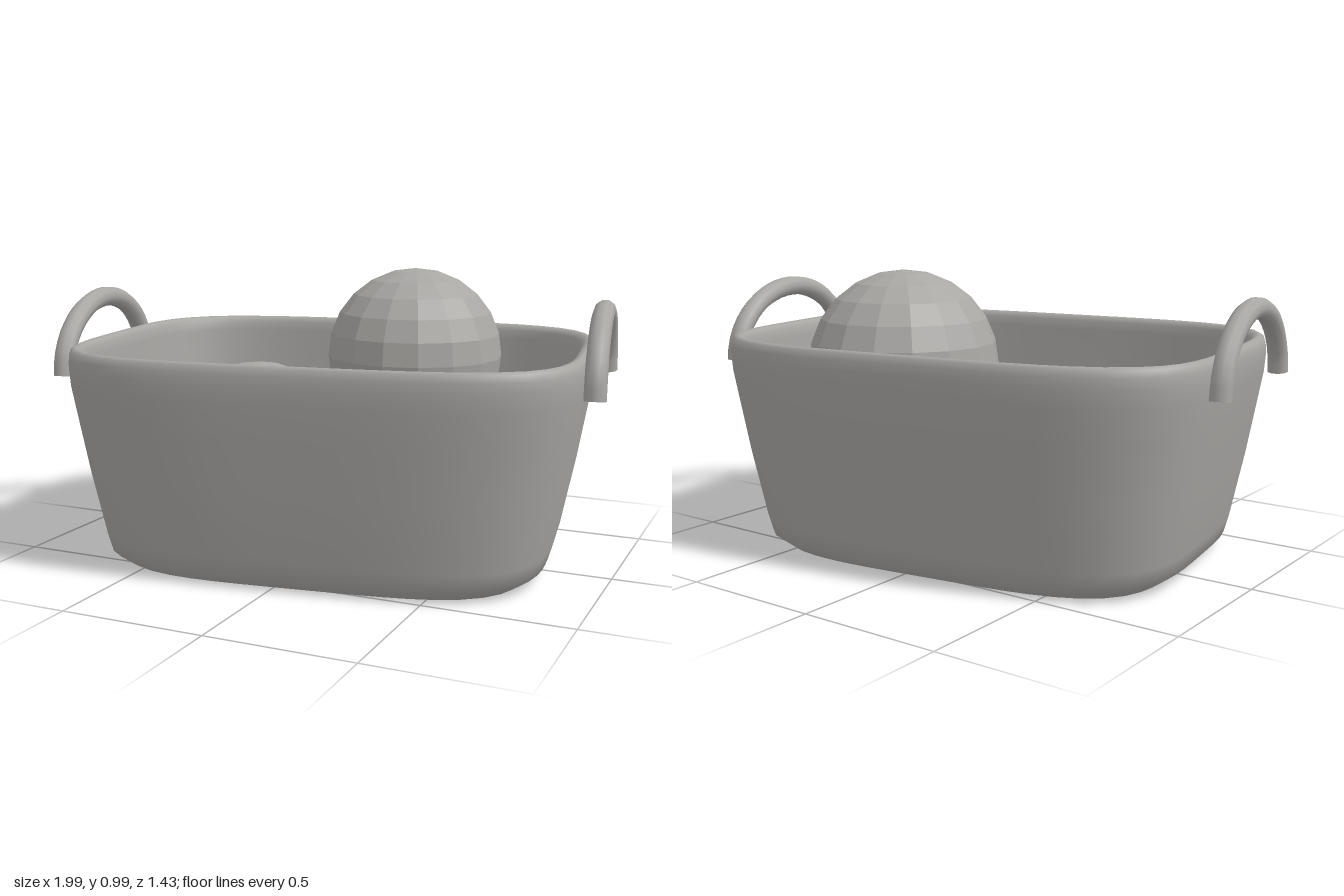
import * as THREE from 'three';

const HALF_X = 0.89, HALF_Z = 0.665, SEGMENTS = 64;

// Sweeps a profile of [scale, y] points around a rounded-rectangle outline.
function loft(profile) {
  const positions = [], index = [];
  for (const [s, y] of profile) {
    for (let j = 0; j < SEGMENTS; j++) {
      const t = (j / SEGMENTS) * Math.PI * 2;
      const c = Math.cos(t), d = Math.sin(t);
      const r = s / Math.pow(c ** 4 + d ** 4, 0.25);
      positions.push(HALF_X * r * c, y, HALF_Z * r * d);
    }
  }
  for (let i = 0; i < profile.length - 1; i++) {
    for (let j = 0; j < SEGMENTS; j++) {
      const k = (j + 1) % SEGMENTS;
      const a = i * SEGMENTS + j, b = a + SEGMENTS;
      const c = i * SEGMENTS + k, d = c + SEGMENTS;
      index.push(a, b, c, b, d, c);
    }
  }
  const geometry = new THREE.BufferGeometry();
  geometry.setAttribute('position', new THREE.Float32BufferAttribute(positions, 3));
  geometry.setIndex(index);
  geometry.computeVertexNormals();
  return geometry;
}

export function createModel() {
  const model = new THREE.Group();
  model.name = 'basketWithBalls';

  const grey = new THREE.MeshStandardMaterial({ color: 0xa9a7a4, side: THREE.DoubleSide });
  grey.name = 'warm grey';
  // Same grey, faceted for the balls
  const facetedGrey = new THREE.MeshStandardMaterial({ color: 0xa9a7a4, flatShading: true });
  facetedGrey.name = 'warm grey faceted';

  const add = (parent, name, geometry, material = grey) => {
    const mesh = new THREE.Mesh(geometry, material);
    mesh.name = name;
    parent.add(mesh);
    return mesh;
  };

  // Basket, turned slightly about the vertical axis
  const basket = new THREE.Group();
  basket.name = 'basket';
  basket.rotation.y = 0.148;
  model.add(basket);

  // Outer wall, rolled rim and inner wall
  add(basket, 'wall', loft([
    [0.805, 0], [0.867, 0.04], [0.885, 0.1], [0.912, 0.22], [0.937, 0.33],
    [0.972, 0.51], [0.995, 0.63], [1, 0.69], [0.998, 0.725], [0.99, 0.747],
    [0.975, 0.756], [0.955, 0.752], [0.942, 0.735], [0.937, 0.7],
    [0.928, 0.55], [0.905, 0.33], [0.872, 0.07],
  ]));
  add(basket, 'base', loft([[0, 0], [0.805, 0]]));
  add(basket, 'floor', loft([[0.872, 0.07], [0, 0.07]]));

  // Arched handles at both ends
  const arch = [];
  for (let i = 0; i <= 16; i++) {
    const t = (i / 16) * Math.PI;
    arch.push(new THREE.Vector3(0, 0.635 + 0.25 * Math.sin(t), 0.331 * Math.cos(t)));
  }
  const handle = new THREE.TubeGeometry(new THREE.CatmullRomCurve3(arch), 24, 0.036, 10);
  for (const [side, name] of [[1, 'leftHandle'], [-1, 'rightHandle']]) {
    add(basket, name, handle).position.x = side * 0.921;
  }

  // Balls: x, y, z, radius
  const balls = [
    [0.16, 0.665, -0.335, 0.327],
    [-0.335, 0.325, -0.005, 0.327],
    [0.427, 0.295, 0.195, 0.295],
  ];
  balls.forEach(([x, y, z, r], i) => {
    add(model, 'ball' + (i + 1), new THREE.SphereGeometry(r, 16, 12), facetedGrey).position.set(x, y, z);
  });

  return model;
}
